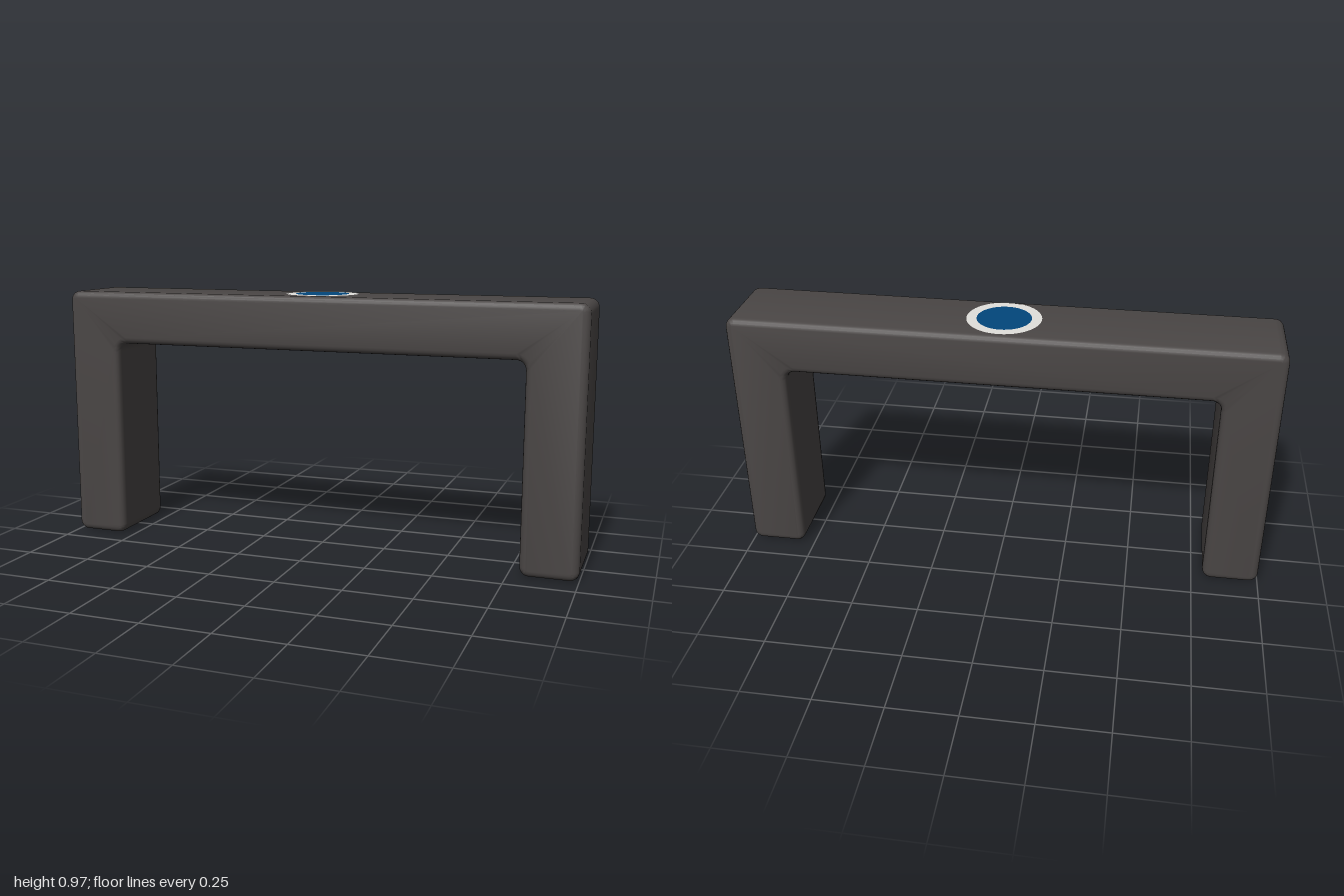
import * as THREE from 'three';
import { toCreasedNormals } from 'three/addons/utils/BufferGeometryUtils.js';

const HALF_WIDTH = 1, HEIGHT = 0.967, DEPTH = 0.32;
const INNER_X = 0.79, INNER_Y = 0.767; // opening under the beam
const ROUND = 0.035, BEVEL = 0.024; // the bevel must stay smaller than the rounding

const frameMat = new THREE.MeshStandardMaterial({ name: 'darkFrame', color: 0x4a4645 });
const ringMat = new THREE.MeshStandardMaterial({ name: 'paleRing', color: 0xe2e0dc });
const discMat = new THREE.MeshStandardMaterial({ name: 'blueDisc', color: 0x02467c });

// Closed outline (counter-clockwise, right-angled) with every corner a circular arc
function roundedShape(corners, radius) {
  const shape = new THREE.Shape();
  const pts = corners.map(([x, y]) => new THREE.Vector2(x, y));
  pts.forEach((p, i) => {
    const back = pts[(i + pts.length - 1) % pts.length].clone().sub(p).setLength(radius);
    const ahead = pts[(i + 1) % pts.length].clone().sub(p).setLength(radius);
    const centre = p.clone().add(back).add(ahead);
    const convex = ahead.cross(back) > 0;
    const start = Math.atan2(-ahead.y, -ahead.x);
    const end = Math.atan2(-back.y, -back.x);
    shape.absarc(centre.x, centre.y, radius, start, end, !convex);
  });
  shape.closePath();
  return shape;
}

export function createModel() {
  const model = new THREE.Group();
  model.name = 'archFrame';

  const add = (name, geometry, material, y = 0) => {
    const mesh = new THREE.Mesh(geometry, material);
    mesh.name = name;
    mesh.position.y = y;
    model.add(mesh);
  };

  // Two legs and a beam in one softly bevelled piece
  const outline = roundedShape([
    [-HALF_WIDTH, 0], [-INNER_X, 0], [-INNER_X, INNER_Y], [INNER_X, INNER_Y],
    [INNER_X, 0], [HALF_WIDTH, 0], [HALF_WIDTH, HEIGHT], [-HALF_WIDTH, HEIGHT],
  ], ROUND);
  const arch = new THREE.ExtrudeGeometry(outline, {
    depth: DEPTH - 2 * BEVEL, curveSegments: 4,
    bevelSize: BEVEL, bevelThickness: BEVEL, bevelOffset: -BEVEL, bevelSegments: 4,
  });
  arch.translate(0, 0, -DEPTH / 2 + BEVEL);
  add('legsAndBeam', toCreasedNormals(arch, 0.7), frameMat);

  // Inlaid round plate in the middle of the beam
  const ring = new THREE.RingGeometry(0.1, 0.137, 48).rotateX(-Math.PI / 2);
  add('inlayRing', ring, ringMat, HEIGHT + 0.002);
  const disc = new THREE.CircleGeometry(0.1, 48).rotateX(-Math.PI / 2);
  add('inlayDisc', disc, discMat, HEIGHT + 0.002);

  return model;
}
